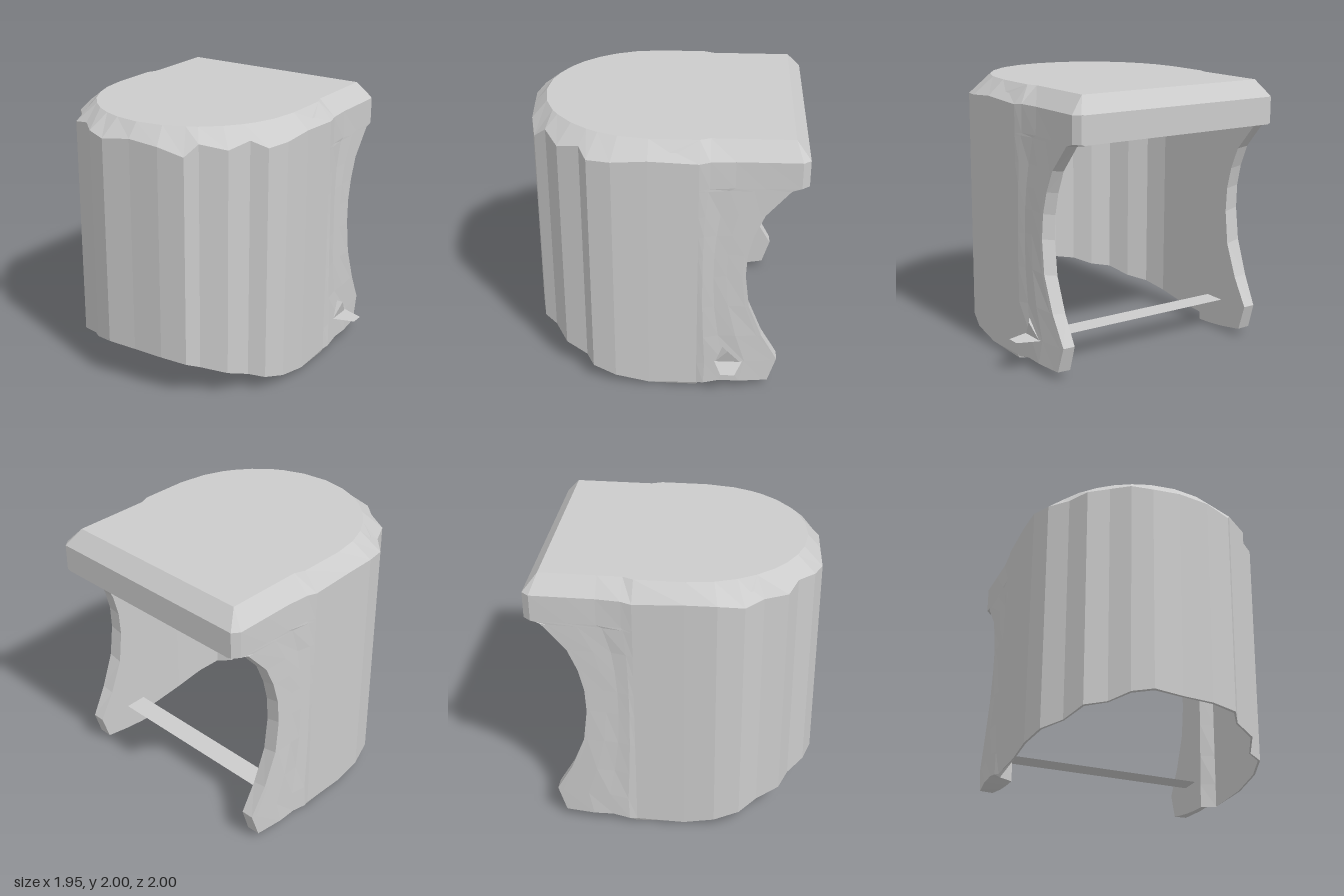
import * as THREE from 'three';

const CX = -0.085; // centre line of the shell
const lerp = THREE.MathUtils.lerp;
const P = (x, y, z) => new THREE.Vector3(x, y, z);

// Outer plan of the faceted front, left side round to right side (x, z, rim height)
const FRONT = [
  [0.8, -0.25, 1.87], [0.81, 0.1, 1.89], [0.8, 0.35, 1.87], [0.75, 0.52, 1.86], [0.64, 0.58, 1.91],
  [0.57, 0.74, 1.87], [0.4, 0.84, 1.91], [0.34, 0.93, 1.83], [0.15, 0.97, 1.88], [-0.08, 0.98, 1.9],
  [-0.3, 1, 1.87], [-0.45, 0.95, 1.89], [-0.57, 0.84, 1.9], [-0.72, 0.78, 1.87], [-0.8, 0.62, 1.87],
  [-0.92, 0.5, 1.86], [-0.97, 0.32, 1.89], [-0.975, 0.1, 1.89], [-0.97, -0.25, 1.87],
];
// Rear cutout of the side walls (y, z), bottom to top
const REAR = [
  [0.05, -0.78], [0.23, -0.84], [0.46, -0.72], [0.72, -0.62], [0.97, -0.59], [1.15, -0.6],
  [1.31, -0.64], [1.47, -0.71], [1.66, -0.88], [1.68, -1], [1.88, -1],
];

// Half width of the rear walls: clipped back corners, bulging towards the foot
function halfWidth(z, v) {
  const corner = 0.04 * Math.max(0, (-0.95 - z) / 0.05);
  const bulge = 0.05 * (1 - v) * Math.max(0, 1 - Math.abs(z + 0.5) / 0.4);
  return 0.855 + 0.03 * Math.max(0, 1 + (z + 0.25) / 0.15) - corner + bulge;
}

// Smooth U-shaped plan inside the outer one: straight sides, elliptical front
function inset(x, z, w, d) {
  if (z < 0.07) return [CX + Math.sign(x - CX) * w, z];
  const a = Math.atan2((z - 0.07) / 0.93, (x - CX) / 0.9);
  return [CX + w * Math.cos(a), 0.07 + d * Math.sin(a)];
}

const bottomY = z => 0.2 * (z + 0.25) ** 2;
const footBevel = z => 0.06 * Math.max(0, 1 - Math.abs(z + 0.45) / 0.35);

// One vertical slice of the wall; planAt(zRear, v) gives its outer (x, z),
// thick runs from 0 (outer skin) to 1 (full wall)
function section(planAt, rimY, thick, ringWidth) {
  const outer = [], inner = [];
  for (const [y, zRear] of REAR) {
    const v = (y - 0.05) / 1.83;
    const [x, z] = planAt(zRear, v);
    const [tx, tz] = inset(x, z, 0.77, 0.81);
    const ix = lerp(x, tx, thick), iz = lerp(z, tz, thick);
    outer.push(P(x, lerp(bottomY(z) + footBevel(z), rimY, v), z));
    inner.push(P(ix, lerp(bottomY(iz), rimY - 0.01, v), iz));
  }
  const top = outer[outer.length - 1];
  const [rx, rz] = inset(top.x, top.z, ringWidth, 0.82);
  return { outer, inner, ring: P(rx, 2, Math.max(rz, -0.9)) };
}

// Mesh from flat polygons
function polyMesh(name, polys, material) {
  const pos = [];
  for (const p of polys)
    for (let i = 1; i < p.length - 1; i++)
      for (const q of [p[0], p[i], p[i + 1]]) pos.push(q.x, q.y, q.z);
  const g = new THREE.BufferGeometry();
  g.setAttribute('position', new THREE.Float32BufferAttribute(pos, 3));
  g.computeVertexNormals();
  const mesh = new THREE.Mesh(g, material);
  mesh.name = name;
  return mesh;
}

export function createModel() {
  const group = new THREE.Group();
  group.name = 'hood';
  const mat = new THREE.MeshStandardMaterial({ color: 0xcccccc, flatShading: true, side: THREE.DoubleSide });

  // Slices: thick left rear wall, thin front, thick right rear wall
  const rear = (s, side) => section((zr, v) => {
    const z = lerp(-0.25, zr, s);
    return [CX + side * halfWidth(z, v), z];
  }, 1.88, 1, 0.745);
  const steps = [1, 0.93, 0.6, 0.33, 0.1];
  const sections = [
    ...steps.map(s => rear(s, 1)),
    ...FRONT.map(([x, z, rim]) => section(() => [x, z], rim, 0.1, 0.775)),
    ...steps.slice().reverse().map(s => rear(s, -1)),
  ];
  const first = sections[0], last = sections[sections.length - 1];

  // Wall with outer skin, bevelled rim, inner skin and bottom edge
  const wall = [];
  const loops = sections.map(s => [...s.outer, s.ring, ...s.inner.slice().reverse()]);
  for (let i = 0; i < loops.length - 1; i++) {
    const a = loops[i], b = loops[i + 1];
    for (let j = 0; j < a.length; j++) {
      const k = (j + 1) % a.length;
      wall.push([a[j], a[k], b[k], b[j]]);
    }
  }
  // Edges of the rear cutout
  for (let j = 0; j < REAR.length - 1; j++) {
    wall.push([first.outer[j], first.inner[j], first.inner[j + 1], first.outer[j + 1]]);
    wall.push([last.outer[j], last.outer[j + 1], last.inner[j + 1], last.inner[j]]);
  }
  group.add(polyMesh('shellWall', wall, mat));

  // Flat roof, its rear bevel and the ceiling beneath
  const n = REAR.length - 1;
  const fan = (pts, y, up) => pts.map((p, i) => {
    const q = pts[(i + 1) % pts.length], c = P(CX, y, 0);
    return up ? [c, q, p] : [c, p, q];
  });
  const roof = fan(sections.map(s => s.ring), 2, true);
  roof.push([first.ring, first.outer[n], last.outer[n], last.ring]);
  group.add(polyMesh('roof', roof, mat));
  group.add(polyMesh('ceiling', fan(sections.map(s => s.inner[n]), 1.88, false), mat));

  // Lip across the back of the roof
  const lip = new THREE.Mesh(new THREE.BoxGeometry(1.6, 0.2, 0.11), mat);
  lip.name = 'rearLip';
  lip.position.set(CX, 1.78, -0.945);
  group.add(lip);

  // Thin strap between the walls, with a tapered end sticking out on the left
  const y = 0.235;
  group.add(polyMesh('strap', [
    [P(-0.9, y, -0.57), P(-0.9, y, -0.4), P(0.8, y, -0.4), P(0.8, y, -0.57)],
    [P(0.8, y, -0.59), P(0.8, y, -0.38), P(0.97, y, -0.43), P(0.97, y, -0.53)],
  ], mat));

  // Small lug on the wall above the strap end
  const [a, b, c, d] = [P(0.81, y, -0.39), P(0.81, y, -0.57), P(0.81, 0.37, -0.44), P(0.84, 0.35, -0.48)];
  group.add(polyMesh('strapLug', [[a, d, b], [a, c, d], [c, b, d]], mat));

  return group;
}
